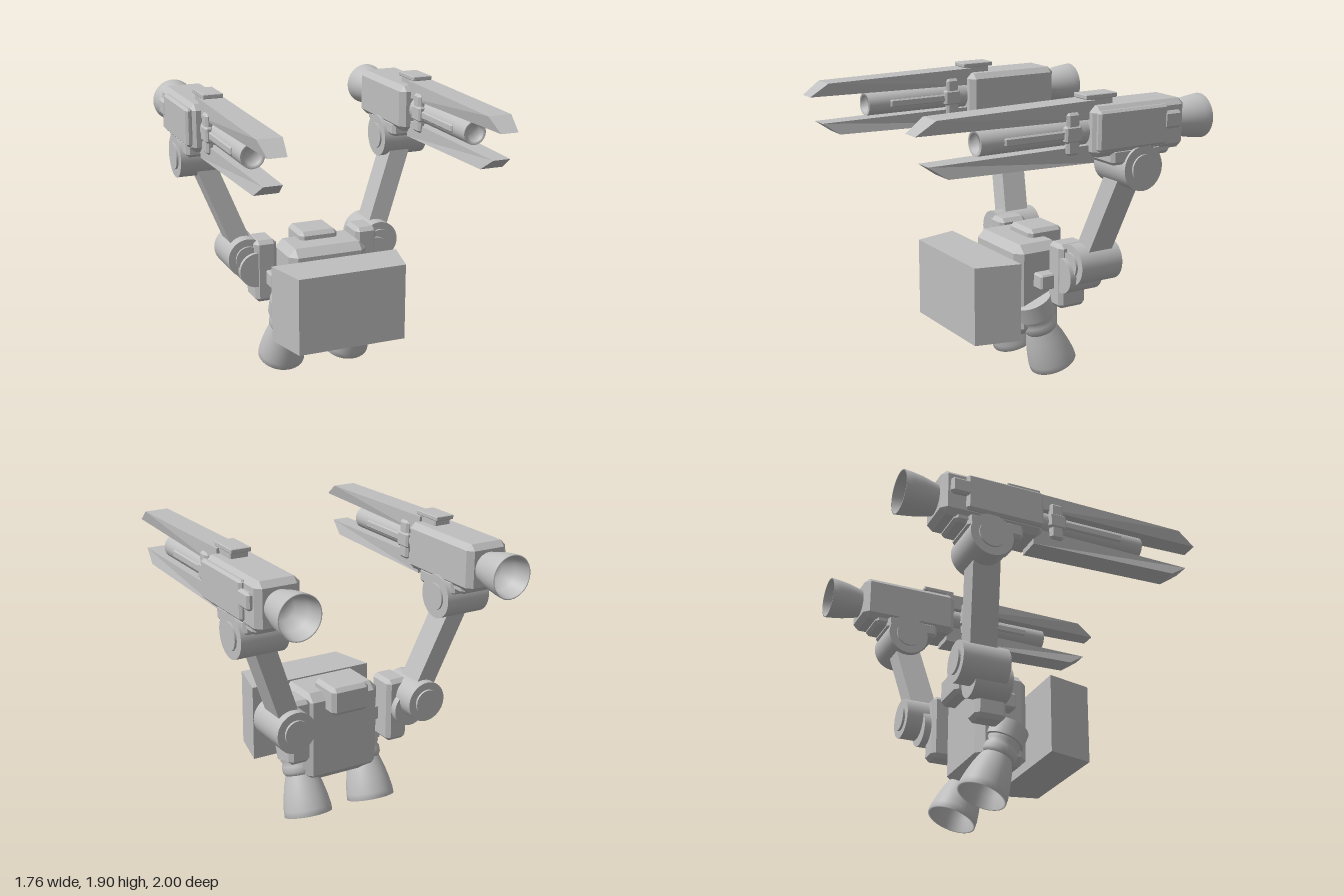
import * as THREE from 'three';
import { ConvexGeometry } from 'three/addons/geometries/ConvexGeometry.js';

const grey = new THREE.MeshStandardMaterial({ color: 0xbfbfbf, side: THREE.DoubleSide });
grey.name = 'grey metal';

function add(parent, name, geometry, x = 0, y = 0, z = 0) {
  const mesh = new THREE.Mesh(geometry, grey);
  mesh.name = name;
  mesh.position.set(x, y, z);
  parent.add(mesh);
  return mesh;
}

// Box with bevelled edges, given by its limits
function bevelBox(parent, name, [x0, x1], [y0, y1], [z0, z1], c) {
  const a = Math.abs(x1 - x0) / 2, b = (y1 - y0) / 2, d = Math.abs(z1 - z0) / 2;
  const points = [];
  for (const i of [-1, 1]) for (const j of [-1, 1]) for (const k of [-1, 1]) {
    points.push(
      new THREE.Vector3(i * a, j * (b - c), k * (d - c)),
      new THREE.Vector3(i * (a - c), j * b, k * (d - c)),
      new THREE.Vector3(i * (a - c), j * (b - c), k * d));
  }
  return add(parent, name, new ConvexGeometry(points), (x0 + x1) / 2, (y0 + y1) / 2, (z0 + z1) / 2);
}

// Cylinder along the x or z axis
function rod(parent, name, axis, r, length, x, y, z) {
  const g = new THREE.CylinderGeometry(r, r, length, 40);
  if (axis === 'x') g.rotateZ(Math.PI / 2);
  else g.rotateX(Math.PI / 2);
  return add(parent, name, g, x, y, z);
}

function lathe(profile) {
  return new THREE.LatheGeometry(profile.map(([r, y]) => new THREE.Vector2(r, y)), 40);
}

// Bar with a slanted tip, drawn in (z, y) and extruded across x
function rail(parent, name, outline, x, tipZ) {
  const shape = new THREE.Shape(outline.map(([z, y]) => new THREE.Vector2(z, y)));
  const g = new THREE.ExtrudeGeometry(shape, { depth: 0.152, bevelEnabled: false });
  g.translate(0, 0, -0.076).rotateY(-Math.PI / 2);
  const p = g.attributes.position;
  for (let i = 0; i < p.count; i++) {
    if (p.getZ(i) > tipZ) p.setX(i, p.getX(i) * 0.75);
  }
  g.computeVertexNormals();
  add(parent, name, g, x);
}

function thruster(parent, s) {
  const group = new THREE.Group();
  group.name = 'thruster';
  group.position.set(s * 0.235, 0.056, -0.255);
  group.rotation.x = 0.363;
  parent.add(group);
  add(group, 'thrusterBell', lathe([
    [0.085, 0.27], [0.13, 0.08], [0.143, 0], [0.155, 0], [0.154, 0.04],
    [0.143, 0.11], [0.125, 0.19], [0.1, 0.27]]));
  add(group, 'thrusterThroat', new THREE.CylinderGeometry(0.1, 0.1, 0.02, 40), 0, 0.27, 0);
  add(group, 'thrusterCollar', lathe([
    [0, 0.26], [0.1, 0.26], [0.115, 0.285], [0.115, 0.325], [0.105, 0.34], [0.115, 0.36], [0.115, 0.39]]));
  add(group, 'thrusterHousing', new THREE.CylinderGeometry(0.13, 0.13, 0.11, 40), 0, 0.435, 0);
}

function arm(parent, s) {
  const group = new THREE.Group();
  group.name = 'arm';
  parent.add(group);
  bevelBox(group, 'shoulderBracket', [s * 0.28, s * 0.43], [0.48, 0.9], [-0.375, -0.175], 0.025);
  bevelBox(group, 'bracketLink', [s * 0.22, s * 0.36], [0.6, 0.7], [-0.26, -0.08], 0.01);
  rod(group, 'shoulderPivot', 'z', 0.115, 0.24, s * 0.42, 0.705, -0.3);
  rod(group, 'elbow', 'z', 0.13, 0.305, s * 0.468, 0.78, -0.375);
  rod(group, 'elbowCap', 'z', 0.082, 0.335, s * 0.468, 0.78, -0.375);

  // Leaning strut
  const strut = new THREE.BoxGeometry(0.14, 0.66, 0.175);
  const p = strut.attributes.position;
  for (let i = 0; i < p.count; i++) {
    const y = p.getY(i);
    p.setX(i, p.getX(i) + s * 0.386 * y);
    p.setZ(i, p.getZ(i) - 0.13 * y);
  }
  strut.computeVertexNormals();
  add(group, 'strut', strut, s * 0.58, 1.11, -0.416);

  rod(group, 'wristJoint', 'x', 0.138, 0.31, s * 0.705, 1.447, -0.465);
  rod(group, 'wristCap', 'x', 0.085, 0.335, s * 0.705, 1.447, -0.465);
}

function cannon(parent, s) {
  const group = new THREE.Group();
  group.name = 'cannon';
  parent.add(group);
  const x = s * 0.707;
  const span = (w) => [x - w, x + w];

  // Housing with stepped underside and outer panel
  bevelBox(group, 'cannonHousing', span(0.142), [1.54, 1.84], [-0.78, -0.12], 0.035);
  bevelBox(group, 'cannonUndersideStep', span(0.135), [1.48, 1.58], [-0.61, -0.25], 0.02);
  bevelBox(group, 'cannonRearStep', span(0.12), [1.51, 1.6], [-0.69, -0.3], 0.02);
  bevelBox(group, 'sidePanel', [s * 0.83, s * 0.875], [1.58, 1.82], [-0.63, -0.13], 0.015);
  bevelBox(group, 'panelTab', [s * 0.83, s * 0.88], [1.67, 1.775], [-0.73, -0.6], 0.015);

  // Sight block
  bevelBox(group, 'sightBase', span(0.058), [1.82, 1.895], [-0.3, -0.13], 0.006);
  bevelBox(group, 'sightTop', span(0.064), [1.875, 1.903], [-0.325, -0.105], 0.004);

  // Rear exhaust
  const exhaust = lathe([
    [0, 0.05], [0.075, 0.05], [0.11, 0.14], [0.128, 0.24], [0.137, 0.24],
    [0.132, 0.19], [0.122, 0.12], [0.1, 0.03], [0.095, 0]]);
  exhaust.rotateX(-Math.PI / 2);
  add(group, 'exhaustBell', exhaust, x, 1.69, -0.76);

  // Barrel with recessed muzzle
  const barrel = lathe([
    [0, 0.66], [0.053, 0.66], [0.053, 0.7], [0.074, 0.7], [0.074, 0.7], [0.074, 0.69], [0.074, 0]]);
  barrel.rotateX(Math.PI / 2);
  add(group, 'barrel', barrel, x, 1.688, -0.1);
  rod(group, 'barrelCollar', 'z', 0.085, 0.12, x, 1.688, -0.08);
  for (const t of [-1, 1]) {
    bevelBox(group, 'barrelStrip', [x + t * 0.05, x + t * 0.084], [1.663, 1.713], [-0.1, 0.45], 0.008);
    bevelBox(group, 'clampSide', [x + t * 0.055, x + t * 0.102], [1.64, 1.74], [-0.06, 0.055], 0.012);
    bevelBox(group, 'clampUpper', [x + t * 0.05, x + t * 0.095], [1.72, 1.815], [-0.05, 0.04], 0.015);
    bevelBox(group, 'clampLower', [x + t * 0.05, x + t * 0.095], [1.565, 1.66], [-0.05, 0.04], 0.015);
  }

  rail(group, 'upperRail', [[-0.16, 1.762], [1, 1.777], [0.88, 1.857], [-0.16, 1.872]], x, 0.95);
  rail(group, 'lowerRail', [[-0.16, 1.503], [0.81, 1.524], [0.925, 1.602], [-0.16, 1.612]], x, 0.85);
}

export function createModel() {
  const model = new THREE.Group();
  model.name = 'jetpack';

  // Backpack
  bevelBox(model, 'pack', [-0.27, 0.27], [0.28, 0.88], [-0.295, 0.042], 0.05);
  bevelBox(model, 'topModule', [-0.132, 0.132], [0.75, 0.932], [-0.39, -0.14], 0.025);

  // Tapered block ahead of the pack
  const block = new THREE.BoxGeometry(0.86, 0.5, 0.29);
  const p = block.attributes.position;
  for (let i = 0; i < p.count; i++) {
    if (p.getZ(i) > 0) p.setX(i, Math.sign(p.getX(i)) * 0.36);
  }
  block.computeVertexNormals();
  add(model, 'frontBlock', block, 0, 0.582, 0.26);

  for (const s of [-1, 1]) {
    thruster(model, s);
    arm(model, s);
    cannon(model, s);
  }
  return model;
}
